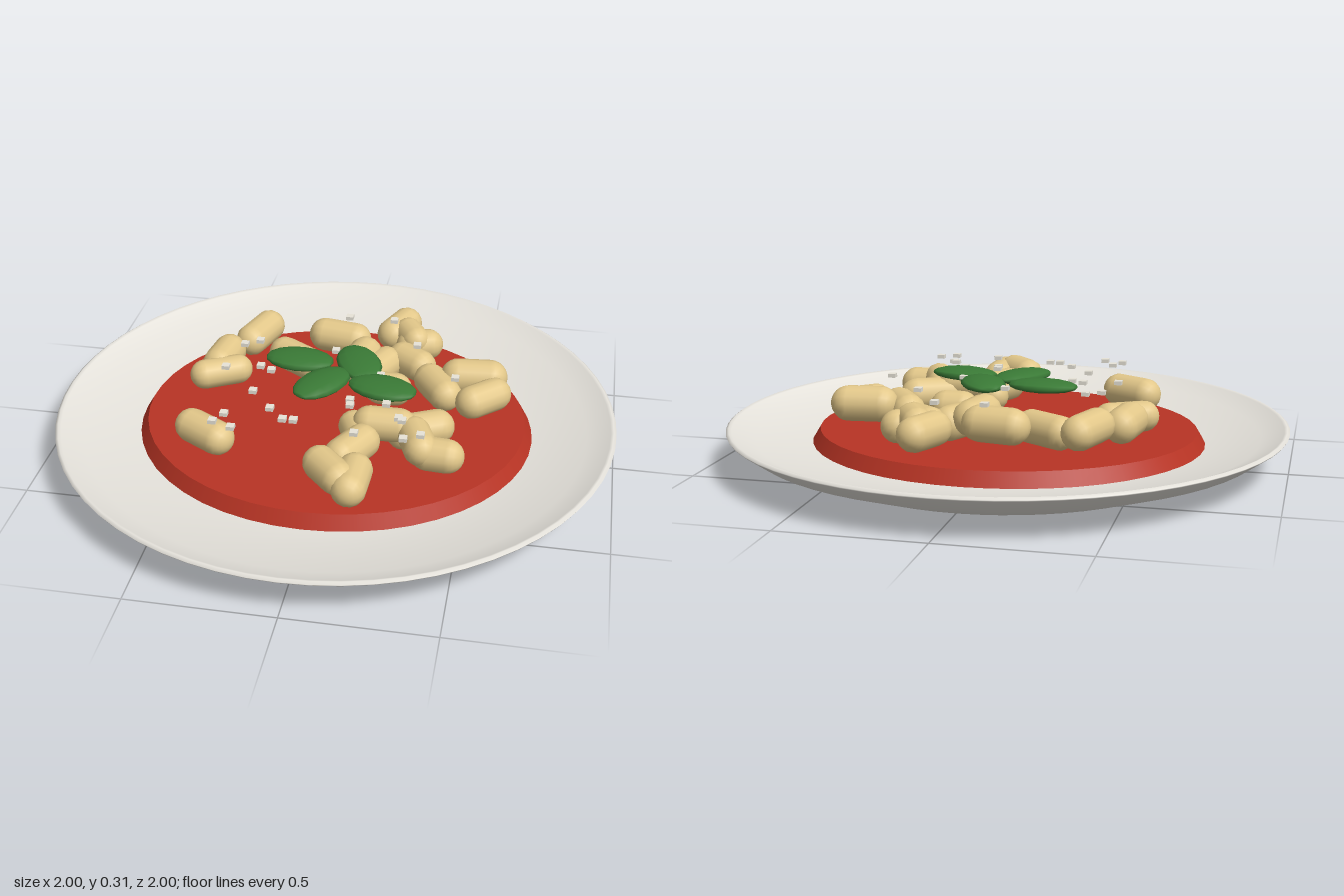
import * as THREE from 'three';

const mat = (name, color) => Object.assign(new THREE.MeshStandardMaterial({ color }), { name });

export function createModel() {
  const model = new THREE.Group();
  model.name = 'plateOfDumplings';
  const ceramic = mat('ceramic', 0xe6e3dc);
  const tomato = mat('tomatoRed', 0xb83424);
  const dough = mat('dough', 0xe3c88a);
  const green = mat('basilGreen', 0x3a7a36);
  const cream = mat('cheeseCream', 0xe8e4d8);

  const add = (parent, name, geometry, material, x = 0, y = 0, z = 0) => {
    const mesh = new THREE.Mesh(geometry, material);
    mesh.name = name;
    mesh.position.set(x, y, z);
    parent.add(mesh);
    return mesh;
  };
  const group = (name) => {
    const g = new THREE.Group();
    g.name = name;
    model.add(g);
    return g;
  };

  // Shallow plate: underside, rim, then inner slope back to the centre
  const profile = [
    [0, 0], [0.7, 0], [0.92, 0.08], [0.997, 0.135], [1, 0.14], [0.99, 0.147], [0.98, 0.143],
    [0.9, 0.108], [0.71, 0.073], [0.6, 0.065], [0, 0.06],
  ].map(([x, y]) => new THREE.Vector2(x, y));
  add(model, 'plate', new THREE.LatheGeometry(profile, 64), ceramic);

  // Oval pool of sauce with a bevelled side
  const sauce = add(model, 'sauce', new THREE.CylinderGeometry(0.68, 0.71, 0.05, 48), tomato, 0, 0.094, 0);
  sauce.scale.z = 0.9;

  // Dumplings: both cap centres (x, z), centre height, radius
  const dumplings = [
    [-0.34, -0.43, -0.38, -0.31, 0.215, 0.06],
    [-0.45, -0.24, -0.465, -0.14, 0.2, 0.062],
    [-0.5, -0.06, -0.39, -0.12, 0.195, 0.054],
    [-0.25, -0.3, -0.14, -0.23, 0.178, 0.06],
    [-0.11, -0.4, 0.005, -0.38, 0.216, 0.063],
    [0.06, -0.29, 0.04, -0.19, 0.21, 0.064],
    [0.14, -0.28, 0.1, -0.2, 0.185, 0.062],
    [0.18, -0.555, 0.14, -0.46, 0.21, 0.06],
    [0.2, -0.46, 0.235, -0.4, 0.225, 0.054],
    [0.28, -0.42, 0.22, -0.4, 0.2, 0.058],
    [0.2, -0.32, 0.27, -0.27, 0.19, 0.06],
    [0.32, -0.17, 0.385, -0.075, 0.195, 0.06],
    [0.42, -0.18, 0.535, -0.19, 0.215, 0.064],
    [0.485, -0.04, 0.56, -0.11, 0.195, 0.06],
    [0.15, -0.08, 0.205, -0.08, 0.195, 0.06],
    [0.38, 0.125, 0.27, 0.18, 0.185, 0.062],
    [0.155, 0.198, 0.258, 0.198, 0.222, 0.06],
    [0.14, 0.27, 0.085, 0.37, 0.19, 0.062],
    [0.31, 0.22, 0.345, 0.31, 0.21, 0.06],
    [0.37, 0.305, 0.435, 0.31, 0.19, 0.06],
    [0.03, 0.455, 0.1, 0.53, 0.212, 0.06],
    [0.147, 0.455, 0.143, 0.565, 0.197, 0.06],
    [-0.455, 0.283, -0.35, 0.345, 0.195, 0.06],
    [0.095, 0.17, 0.13, 0.25, 0.185, 0.055],
  ];
  const pile = group('dumplings');
  const up = new THREE.Vector3(0, 1, 0);
  for (const [x1, z1, x2, z2, y, r] of dumplings) {
    const axis = new THREE.Vector3(x2 - x1, 0, z2 - z1);
    const capsule = new THREE.CapsuleGeometry(r, axis.length(), 6, 14);
    const mesh = add(pile, 'dumpling', capsule, dough, (x1 + x2) / 2, y, (z1 + z2) / 2);
    mesh.quaternion.setFromUnitVectors(up, axis.normalize());
  }

  // Basil leaves: flattened spheres, long axis turned by yaw
  const leaves = group('basilLeaves');
  const leafGeometry = new THREE.SphereGeometry(1, 12, 8).rotateZ(Math.PI / 2);
  for (const [x, z, dx, dz] of [
    [-0.145, -0.075, 1, 0.06], [0.07, -0.085, 0.45, 1], [-0.037, 0.075, -0.6, 1], [0.178, 0.07, 1, 0.22],
  ]) {
    const leaf = add(leaves, 'basilLeaf', leafGeometry, green, x, 0.288, z);
    leaf.scale.set(0.125, 0.023, 0.079);
    leaf.rotation.y = -Math.atan2(dz, dx);
  }

  // Scattered cheese crumbs (x, z)
  const crumbs = group('cheeseCrumbs');
  const crumbGeometry = new THREE.BoxGeometry(0.027, 0.014, 0.027);
  for (const [x, z] of [
    [-0.02, -0.415], [0.15, -0.42], [0.26, -0.245], [-0.315, -0.18], [-0.365, -0.145], [-0.395, 0.027],
    [-0.273, 0], [-0.23, 0.022], [-0.027, -0.155], [0.422, -0.037], [-0.262, 0.172], [-0.18, 0.272],
    [-0.123, 0.332], [-0.086, 0.332], [-0.326, 0.332], [-0.353, 0.385], [-0.283, 0.412], [0.086, 0.205],
    [0.208, 0.176], [0.262, 0.257], [0.348, 0.348], [0.294, 0.38], [0.128, 0.374], [0.08, 0.17],
    [0.16, -0.01], [0.275, 0.27],
  ]) add(crumbs, 'cheeseCrumb', crumbGeometry, cream, x, 0.29, z);

  return model;
}
